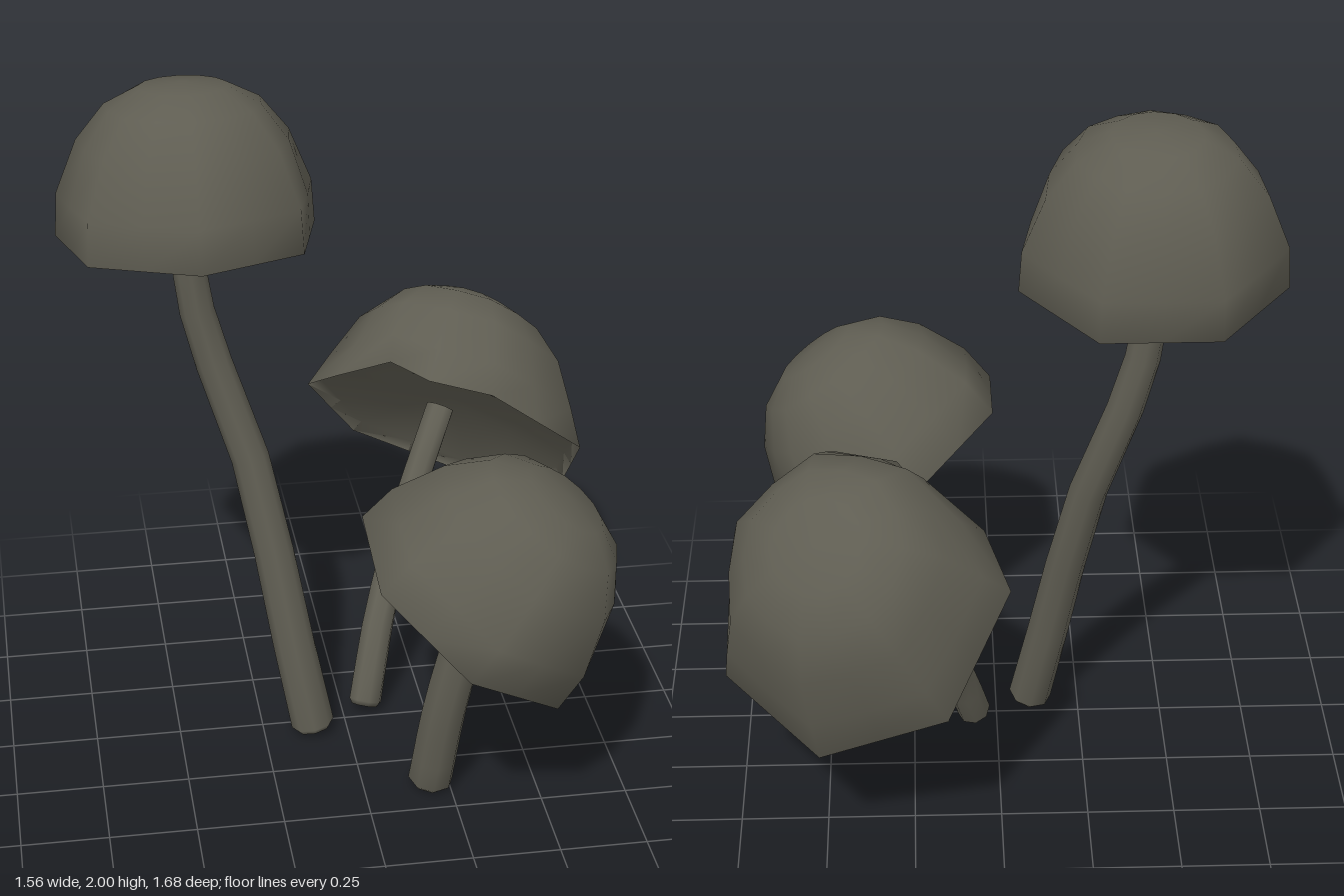
import * as THREE from 'three';

const V = (p) => new THREE.Vector3(...p);

// Smooth closed skin through rings of points, with a pole at each end
function loft(rings, bottom, top) {
  const n = rings[0].length;
  const pts = [bottom, ...rings.flat(), top];
  const index = [];
  const at = (i, j) => 1 + i * n + (j % n);
  for (let j = 0; j < n; j++) {
    index.push(0, at(0, j + 1), at(0, j));
    for (let i = 0; i < rings.length - 1; i++) {
      index.push(at(i, j), at(i, j + 1), at(i + 1, j + 1), at(i, j), at(i + 1, j + 1), at(i + 1, j));
    }
    index.push(at(rings.length - 1, j), at(rings.length - 1, j + 1), pts.length - 1);
  }
  const g = new THREE.BufferGeometry().setFromPoints(pts);
  g.setIndex(index);
  g.computeVertexNormals();
  return g;
}

// Seven-cornered domed cap: centre of rim, axis, direction of one rim corner,
// rim and dome radius, height, and how far the crown leans towards that corner
function capGeometry({ center, axis, corner, rim, dome, height, lean, bent }) {
  const c = V(center), n = V(axis).normalize();
  const a = V(corner).projectOnPlane(n).normalize();
  const b = n.clone().cross(a);
  // [radius, height, roundness] from the shallow underside over the rim to the crown
  const profile = [[0.5, 0.18, 1], [0.93, 0.07, 0], [1, 0, 0], [0.98, 0.28, 0.12],
    [0.81, 0.63, 0.45], [0.59, 0.86, 0.65], [0.33, 0.975, 1]];
  const rimRing = 2;
  const rings = profile.map(([r, h, round], i) => Array.from({ length: 14 }, (_, j) => {
    let rr = r * (i <= rimRing ? rim : dome), hh = h * height;
    if (j % 2) rr *= THREE.MathUtils.lerp(Math.cos(Math.PI / 7), 1, round);
    // curled-in rim corner
    if (bent && j === 0 && i >= rimRing - 1 && i <= rimRing + 1) {
      rr *= i > rimRing ? 0.9 : 0.78;
      hh += i > rimRing ? 0.03 : 0.06;
    }
    const t = (j / 14) * Math.PI * 2;
    return c.clone().addScaledVector(a, rr * Math.cos(t) + lean * h).addScaledVector(b, rr * Math.sin(t)).addScaledVector(n, hh);
  }));
  const pole = (h) => c.clone().addScaledVector(n, h * height).addScaledVector(a, lean * h);
  return loft(rings, pole(0.22), pole(1));
}

// Bent, tapering stem through a few points
function stemGeometry(points, r0, r1) {
  const curve = new THREE.CatmullRomCurve3(points.map(V));
  const steps = 7, sides = 8;
  const ring = (u, r, shift = 0) => {
    const n = curve.getTangent(u), c = curve.getPoint(u).addScaledVector(n, shift);
    const a = new THREE.Vector3(0, 0, 1).projectOnPlane(n).normalize();
    const b = n.clone().cross(a);
    return Array.from({ length: sides }, (_, j) => {
      const t = (j / sides) * Math.PI * 2;
      return c.clone().addScaledVector(a, r * Math.cos(t)).addScaledVector(b, r * Math.sin(t));
    });
  };
  const rings = [ring(0, r0 * 0.8, -0.015)];
  for (let i = 0; i <= steps; i++) rings.push(ring(i / steps, THREE.MathUtils.lerp(r0, r1, i / steps)));
  const foot = curve.getPoint(0).addScaledVector(curve.getTangent(0), -0.02);
  return loft(rings, foot, curve.getPoint(1));
}

export function createModel() {
  const model = new THREE.Group();
  model.name = 'mushroomCluster';
  const grey = new THREE.MeshStandardMaterial({ color: 0x5f5d52 });
  grey.name = 'olive grey';

  const mushrooms = [
    {
      name: 'tallMushroom',
      stem: [[-0.105, 0.03, 0.055], [-0.175, 0.4, -0.01], [-0.245, 0.8, -0.1], [-0.37, 1.2, -0.16], [-0.415, 1.4, -0.165], [-0.43, 1.66, -0.17]],
      radii: [0.064, 0.045],
      cap: { center: [-0.42, 1.56, -0.13], axis: [0, 0.994, -0.11], corner: [0, 0, 1], rim: 0.376, dome: 0.376, height: 0.44, lean: 0 },
    },
    {
      name: 'frontMushroom',
      stem: [[0.195, 0.025, 0.38], [0.23, 0.32, 0.425], [0.32, 0.72, 0.455]],
      radii: [0.066, 0.063],
      cap: { center: [0.285, 0.645, 0.445], axis: [0.58, 0.8, 0.14], corner: [0.8, -0.6, -0.1], rim: 0.388, dome: 0.385, height: 0.44, lean: 0 },
    },
    {
      name: 'backMushroom',
      stem: [[0.07, 0.035, -0.035], [0.13, 0.27, -0.14], [0.23, 0.48, -0.33], [0.38, 0.77, -0.52]],
      radii: [0.05, 0.045],
      cap: { center: [0.39, 0.73, -0.465], axis: [0.385, 0.69, -0.614], corner: [-0.61, 0.7, 0.37], rim: 0.447, dome: 0.405, height: 0.395, lean: 0.07, bent: true },
    },
  ];

  for (const m of mushrooms) {
    const group = new THREE.Group();
    group.name = m.name;
    const stem = new THREE.Mesh(stemGeometry(m.stem, ...m.radii), grey);
    stem.name = 'stem';
    const cap = new THREE.Mesh(capGeometry(m.cap), grey);
    cap.name = 'cap';
    group.add(stem, cap);
    model.add(group);
  }
  return model;
}
